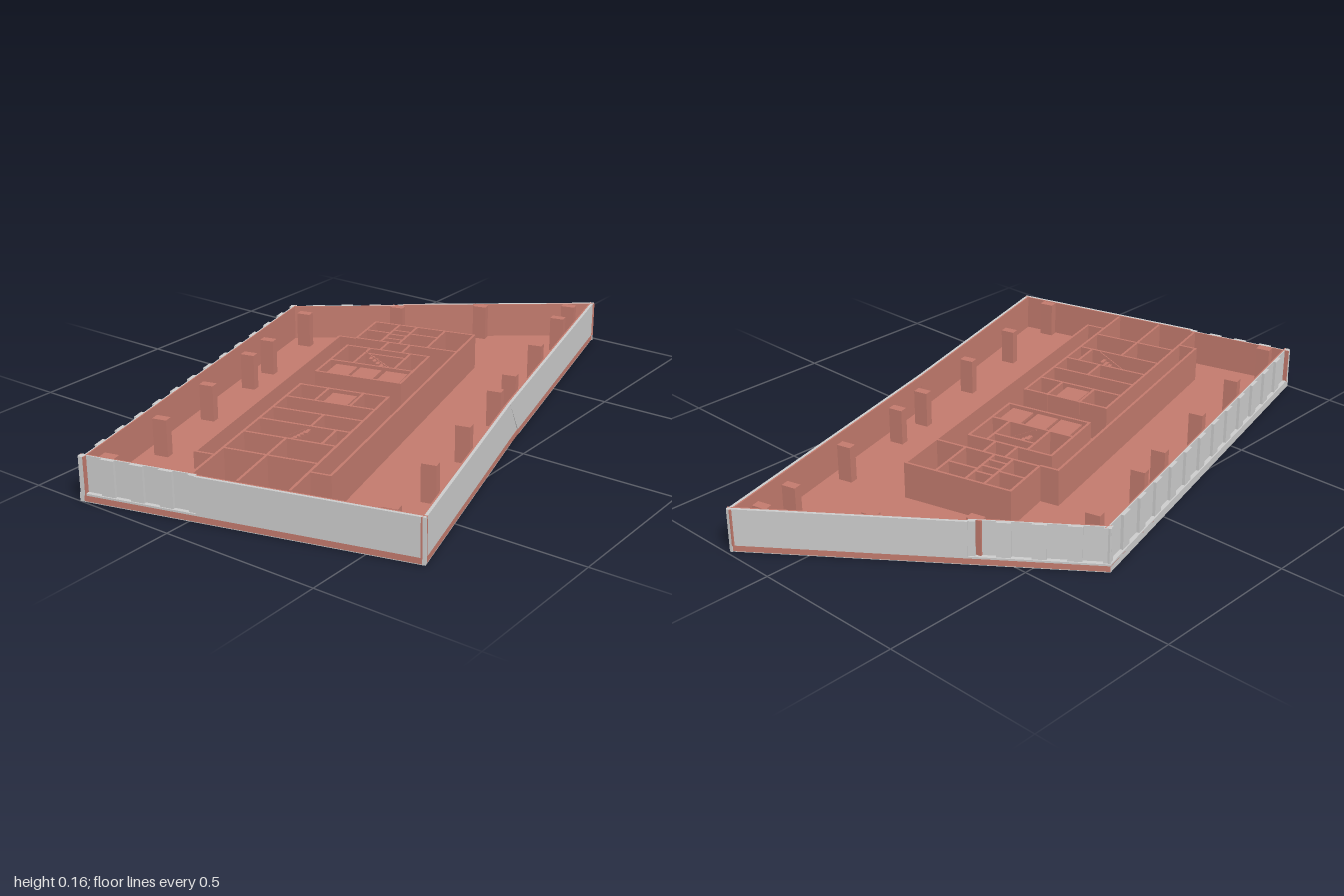
import * as THREE from 'three';

const H = 0.137, FLOOR = 0.02, ANGLE = 0.2487;
const grey = new THREE.MeshStandardMaterial({ color: 0xcccccc });
const red = new THREE.MeshStandardMaterial({ color: 0xc27a6d });

// Outline corners in plan (x, z), clockwise seen from above
const A = [-1.0, -0.33], B = [0.34, -0.67], C = [0.99, 0.18], D = [0.02, 0.437], E = [-0.74, 0.66];
const F = [0.58, -0.356], G = [-0.908, 0.02];

function add(parent, name, geometry, material, x = 0, y = 0, z = 0) {
  const mesh = new THREE.Mesh(geometry, material);
  mesh.name = name;
  mesh.position.set(x, y, z);
  parent.add(mesh);
  return mesh;
}

// Box given by its minimum and maximum in x, y, z
function block(parent, name, material, x0, x1, y0, y1, z0, z1) {
  return add(parent, name, new THREE.BoxGeometry(x1 - x0, y1 - y0, z1 - z0), material,
    (x0 + x1) / 2, (y0 + y1) / 2, (z0 + z1) / 2);
}

// Group whose local x runs from p to q and whose local z points indoors
function edge(parent, name, p, q) {
  const g = new THREE.Group();
  g.name = name;
  g.position.set(p[0], 0, p[1]);
  g.rotation.y = -Math.atan2(q[1] - p[1], q[0] - p[0]);
  g.userData.length = Math.hypot(q[0] - p[0], q[1] - p[1]);
  parent.add(g);
  return g;
}

// Plain outer wall; the lower ends may lean by s0 and s1
function plainWall(parent, name, p, q, s0 = 0, s1 = 0) {
  const g = edge(parent, name, p, q), L = g.userData.length;
  const shape = new THREE.Shape([[s0, 0], [L + s1, 0], [L, H], [0, H]].map(a => new THREE.Vector2(...a)));
  add(g, 'outerFace', new THREE.ExtrudeGeometry(shape, { depth: 0.009, bevelEnabled: false }), grey);
  block(g, 'innerLining', red, 0, L, FLOOR, H, 0.009, 0.014);
}

// Outer wall with a sill and a row of recessed bays
function bayWall(parent, name, p, q, bays) {
  const g = edge(parent, name, p, q), L = g.userData.length, step = L / bays;
  block(g, 'sill', grey, 0, L, 0, 0.026, 0, 0.014);
  block(g, 'recessedPanel', grey, 0, L, 0.026, H, 0.013, 0.017);
  block(g, 'innerLining', red, 0, L, FLOOR, H, 0.017, 0.021);
  for (let i = 0; i <= bays; i++) {
    const x0 = Math.max(0, i * step - 0.021), x1 = Math.min(L, i * step + 0.021);
    block(g, 'pier', grey, x0, x1, 0.026, H, 0.004, 0.013);
  }
}

// Plan point in the turned core frame -> (x, z)
const c = Math.cos(ANGLE), s = Math.sin(ANGLE);
const toWorld = (u, v) => new THREE.Vector2(u * c + v * s, -u * s + v * c);

export function createModel() {
  const model = new THREE.Group();
  model.name = 'officeFloor';

  // Floor slab with lift and stair openings
  const slab = new THREE.Shape([A, B, C, D, E].map(p => new THREE.Vector2(...p)));
  const openings = [
    [-0.268, -0.178, -0.12, -0.015], [-0.05, 0.05, -0.21, -0.03],
    [-0.519, -0.508, -0.13, -0.045], [0.095, 0.106, -0.11, -0.018],
  ];
  for (const [u0, u1, v0, v1] of openings) {
    slab.holes.push(new THREE.Path([toWorld(u0, v0), toWorld(u0, v1), toWorld(u1, v1), toWorld(u1, v0)]));
  }
  const slabGeo = new THREE.ExtrudeGeometry(slab, { depth: FLOOR - 0.002, bevelEnabled: false });
  add(model, 'floorSlab', slabGeo.rotateX(Math.PI / 2), red, 0, FLOOR, 0);

  // Outer walls
  bayWall(model, 'backWall', A, B, 13);
  bayWall(model, 'rightWallBays', B, F, 4);
  plainWall(model, 'rightWall', F, C);
  plainWall(model, 'frontWallRight', C, D, 0, -0.104);
  plainWall(model, 'frontWallLeft', D, E, -0.104, 0);
  plainWall(model, 'leftWall', E, G);
  bayWall(model, 'leftWallBays', G, A, 4);

  // Perimeter columns
  const columns = [
    [-0.945, -0.26], [-0.667, -0.33], [-0.39, -0.4], [-0.117, -0.47], [0.022, -0.506], [0.3, -0.575],
    [0.545, -0.355], [0.725, -0.125], [0.908, 0.125], [0.777, 0.158], [0.506, 0.233],
    [0.23, 0.306], [0.09, 0.34], [-0.187, 0.41], [-0.46, 0.48], [-0.737, 0.55],
  ];
  for (const [x, z] of columns) {
    add(model, 'column', new THREE.BoxGeometry(0.028, H - FLOOR, 0.046), red, x, (H + FLOOR) / 2, z)
      .rotation.y = ANGLE;
  }

  // Core, turned to follow the back wall
  const core = new THREE.Group();
  core.name = 'core';
  core.rotation.y = ANGLE;
  model.add(core);
  const T = 0.004;
  const along = (v, u0, u1) => block(core, 'partition', red, u0 - T, u1 + T, FLOOR, H, v - T, v + T);
  const across = (u, v0, v1) => block(core, 'partition', red, u - T, u + T, FLOOR, H, v0, v1);

  // Walls running lengthwise: [v, u from, u to]
  [
    [-0.28, -0.735, 0.265], [0.133, -0.74, 0.44],
    [-0.22, -0.86, -0.17], [0.07, -0.86, -0.17],
    [-0.22, -0.054, 0.195], [0.063, -0.054, 0.195], [-0.22, 0.27, 0.44],
    [-0.085, -0.86, -0.56], [-0.055, -0.457, -0.367], [0.025, -0.56, -0.457],
    [-0.125, -0.276, -0.17], [-0.01, -0.276, -0.17],
    [-0.14, 0.055, 0.195], [0.0, 0.055, 0.195], [-0.105, 0.195, 0.27], [-0.03, 0.195, 0.27],
    [-0.133, 0.27, 0.44], [-0.07, 0.27, 0.44], [0.03, 0.27, 0.44],
  ].forEach(w => along(...w));

  // Walls running crosswise: [u, v from, v to]
  [
    [-0.735, -0.28, -0.22], [0.265, -0.28, -0.22], [-0.74, 0.07, 0.133], [0.44, -0.22, 0.133],
    [-0.684, -0.22, 0.07], [-0.56, -0.22, 0.07], [-0.457, -0.22, 0.07], [-0.367, -0.22, 0.07],
    [-0.276, -0.22, 0.07], [-0.172, -0.22, 0.07],
    [-0.054, -0.22, 0.063], [0.055, -0.22, 0.063], [0.15, -0.14, 0.0], [0.195, -0.22, 0.063],
    [0.27, -0.22, 0.133], [0.305, -0.133, -0.07], [0.345, -0.133, -0.07], [0.385, -0.133, -0.07],
    [0.355, -0.22, -0.133], [0.37, -0.07, 0.03],
  ].forEach(w => across(...w));

  // Lift shaft covers, separated by narrow gaps
  const cover = (u0, u1, v0, v1) => block(core, 'liftCover', red, u0, u1, 0.118, 0.126, v0, v1);
  cover(-0.276, -0.172, -0.108, -0.03);
  for (const v of [-0.197, -0.114, -0.026]) cover(-0.054, 0.055, v, v + 0.073);

  // Two-flight stairs either side of each slot
  function stairs(u, vLow, vHigh) {
    const n = 8, dv = (vHigh - vLow) / n, w = Math.abs(dv) / 2;
    for (let i = 0; i < n; i++) {
      const y = FLOOR + 0.007 * i, v1 = vHigh - dv * (i + 0.5), v2 = vLow + dv * (i + 0.5);
      block(core, 'lowerStep', red, u - 0.036, u - 0.008, y, y + 0.007, v1 - w, v1 + w);
      block(core, 'upperStep', red, u + 0.008, u + 0.036, y + 0.06, y + 0.067, v2 - w, v2 + w);
    }
    // Thin handrail continuing upward above the walls
    const rail = add(core, 'handrail', new THREE.BoxGeometry(0.003, 0.003, 0.11), red,
      u + 0.008, 0.133, (vLow + vHigh) / 2 + Math.sign(dv) * 0.01);
    rail.rotation.x = -Math.sign(dv) * 0.5;
  }
  stairs(-0.514, -0.13, -0.045);
  stairs(0.1, -0.018, -0.11);

  return model;
}
